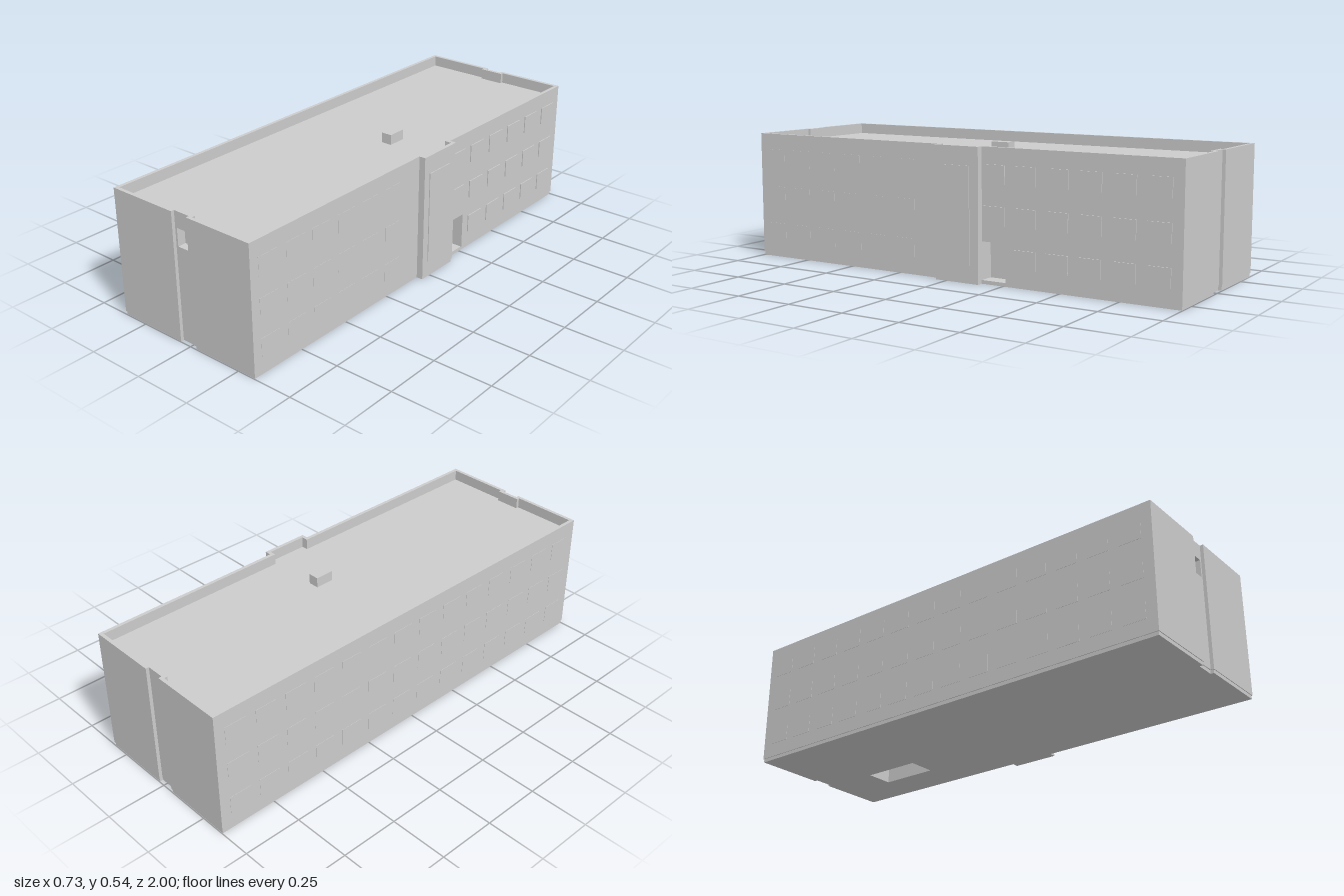
import * as THREE from 'three';

const material = new THREE.MeshStandardMaterial({ color: 0xcccccc, flatShading: true });

const LEFT = 0.333, RIGHT = -0.364, BUMP = 0.361;
const ROOF = 0.497, TOP = 0.543;

// Building outline as [x, z] corners, moved inward by t, with optional recesses
function footprint(t, { niche = false, frontWindow = false } = {}) {
  const e = 1 - t, n = 0.986 - t;
  const x0 = RIGHT + t, x1 = LEFT - t;
  const points = [[x0, e], [-0.051 - t, e], [-0.051 - t, n]];
  if (frontWindow) points.push([-0.042, n], [-0.042, n - 0.035], [0.018, n - 0.035], [0.018, n]);
  points.push([0.026 + t, n], [0.026 + t, e], [x1, e]);
  // projecting stair tower
  points.push([x1, 0.052 - t], [BUMP - t, 0.052 - t], [BUMP - t, -0.155 + t]);
  if (niche) points.push([x1 - 0.065, -0.155 + t], [x1 - 0.065, -0.265], [x1, -0.265]);
  else points.push([x1, -0.155 + t]);
  points.push([x1, -e], [0.026 + t, -e], [0.026 + t, -n], [-0.051 - t, -n], [-0.051 - t, -e], [x0, -e]);
  return points;
}

const rectangle = (x0, x1, z0, z1) => [[x0, z0], [x1, z0], [x1, z1], [x0, z1]];
const toVectors = (points) => points.map(([x, z]) => new THREE.Vector2(x, -z));

// Upright prism over an outline, with optional holes
function prism(name, outline, y0, y1, holes = []) {
  const shape = new THREE.Shape(toVectors(outline));
  for (const hole of holes) shape.holes.push(new THREE.Path(toVectors(hole)));
  const geometry = new THREE.ExtrudeGeometry(shape, { depth: y1 - y0, bevelEnabled: false });
  geometry.rotateX(-Math.PI / 2).translate(0, y0, 0);
  const mesh = new THREE.Mesh(geometry, material);
  mesh.name = name;
  return mesh;
}

// Thin panel standing proud of a long side wall
function sidePanel(name, wallX, proud, z0, z1, y0, y1) {
  const mesh = new THREE.Mesh(new THREE.BoxGeometry(proud * 2, y1 - y0, z1 - z0), material);
  mesh.position.set(wallX, (y0 + y1) / 2, (z0 + z1) / 2);
  mesh.name = name;
  return mesh;
}

export function createModel() {
  const building = new THREE.Group();
  building.name = 'building';

  // Walls, stacked in layers so each recess has its own height
  const pit = rectangle(0.045, 0.165, -0.745, -0.49);
  building.add(
    prism('plinth', footprint(0.003, { niche: false }), 0, 0.015, [pit]),
    prism('groundFloorWalls', footprint(0, { niche: true }), 0.015, 0.09, [pit]),
    prism('doorwayWalls', footprint(0, { niche: true }), 0.09, 0.17),
    prism('middleWalls', footprint(0), 0.17, 0.4),
    prism('upperWalls', footprint(0, { frontWindow: true }), 0.4, 0.475),
    prism('roofSlab', footprint(0), 0.475, ROOF),
    prism('parapet', footprint(0), ROOF, TOP, [footprint(0.015)]),
  );

  // Hollow roof vent
  building.add(prism('roofVent', rectangle(0.06, 0.106, -0.137, -0.055), ROOF, TOP - 0.003,
    [rectangle(0.066, 0.1, -0.131, -0.061)]));

  // Tall panel on the stair tower
  building.add(sidePanel('towerPanel', BUMP, 0.0035, -0.115, 0.02, 0.073, 0.467));

  // Three floors of windows along both long sides
  const windows = new THREE.Group();
  windows.name = 'windows';
  [0.075, 0.237, 0.4].forEach((y, floor) => {
    for (let i = 0; i < 6; i++) {
      const back = -0.955 + i * 0.139;
      const overDoor = floor === 0 && i === 5;
      if (!overDoor) windows.add(sidePanel('window', LEFT, 0.004, back, back + 0.095, y, y + 0.075));
      const front = 0.17 + i * 0.139;
      windows.add(sidePanel('window', LEFT, 0.001, front, front + 0.095, y, y + 0.075));
    }
    for (let i = 0; i < 14; i++) {
      const z = -0.955 + i * 0.1395;
      windows.add(sidePanel('window', RIGHT, 0.0012, z, z + 0.095, y, y + 0.075));
    }
  });
  building.add(windows);

  return building;
}
